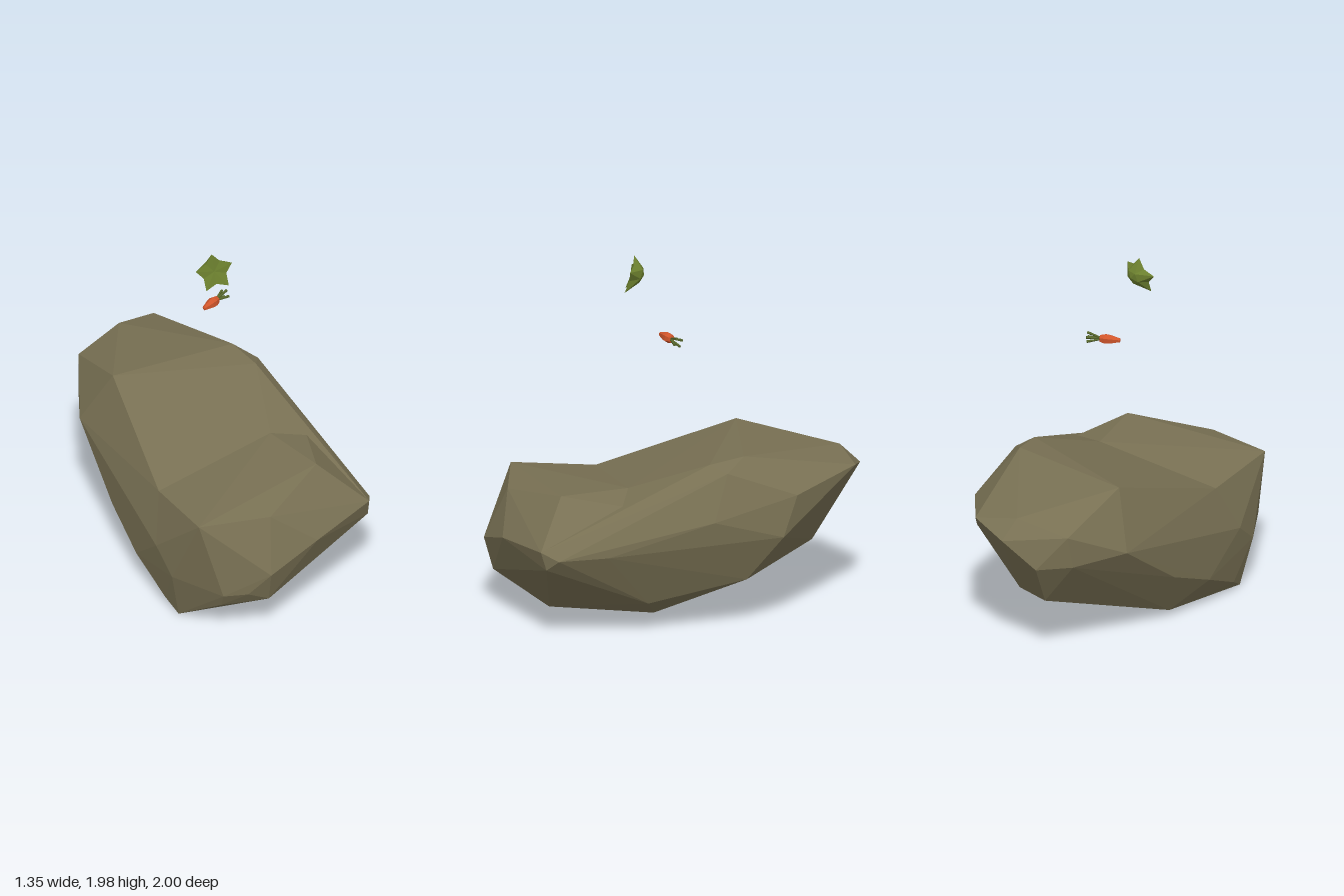
import * as THREE from 'three';
import { ConvexGeometry } from 'three/addons/geometries/ConvexGeometry.js';

const flat = (name, color) => {
  const m = new THREE.MeshStandardMaterial({ color, flatShading: true });
  m.name = name;
  return m;
};
const named = (mesh, name) => { mesh.name = name; return mesh; };
const v = (x, y, z) => new THREE.Vector3(x, y, z);

export function createModel() {
  const stone = flat('stone', 0x787053);
  const starGreen = flat('starGreen', 0x6b7f2e);
  const orange = flat('orange', 0xd0552b);
  const leafGreen = flat('leafGreen', 0x55652b);
  const model = new THREE.Group();
  model.name = 'rockWithStarAndCarrot';

  // Boulder: two convex chunks that meet along a sunken fold
  const fold = [[-0.47, 0.66, 0.43], [0.21, 0.77, 0.21], [0.43, 0.71, 0.03]];
  const frontLip = [[-0.37, 0.7, 0.88], [0.03, 0.69, 0.87], [0.37, 0.77, 0.56]];
  const lowerFront = [
    [0.67, 0.5, 0.55], [0.64, 0.54, 0.65], [0.64, 0.44, 0.62], [0.59, 0.5, 0.29],
    [0.29, 0.5, 0.88], [0, 0.4, 1], [0, 0.22, 0.95], [-0.12, 0.28, 0.97],
    [-0.25, 0.27, 0.94], [-0.25, 0.19, 0.9], [-0.47, 0.28, 0.7], [-0.52, 0.4, 0.56],
    [-0.47, 0.06, 0.56], [-0.56, 0.19, 0.3],
  ];
  const base = [
    [-0.42, 0, 0.65], [-0.01, 0.01, 0.65], [-0.01, 0, 0.22], [0.11, 0.03, 0.08],
    [0.38, 0.175, 0.09], [-0.46, 0.04, 0.1],
  ];
  const back = [
    [-0.52, 0.925, -0.32], [0.17, 0.95, -0.41], [0.25, 0.925, -0.23], [0.29, 0.89, -0.33],
    [0.41, 0.65, -0.27], [0.27, 0.53, -0.63], [0.21, 0.75, -0.7], [0.25, 0.28, -0.43],
    [-0.11, 0.82, -0.99], [-0.33, 0.76, -1], [-0.33, 0.86, -0.89], [-0.49, 0.61, -0.9],
    [-0.59, 0.79, -0.76], [-0.6, 0.61, -0.73], [-0.68, 0.62, -0.41], [-0.61, 0.32, 0],
    [-0.4, 0.35, -0.75], [-0.2, 0.36, -0.75],
  ];
  const chunk = (...sets) =>
    new THREE.Mesh(new ConvexGeometry(sets.flat().map((p) => v(...p))), stone);
  const boulder = new THREE.Group();
  boulder.name = 'boulder';
  boulder.add(
    named(chunk(fold, back, base, lowerFront), 'boulderBack'),
    named(chunk(fold, frontLip, lowerFront, base), 'boulderFront'),
  );
  model.add(boulder);

  // Star: shallow front face, faceted bulge behind, leaning back a little
  const cx = -0.102, cy = 1.872;
  const ring = (deg, r, depth) => {
    const a = THREE.MathUtils.degToRad(deg);
    const y = r * Math.sin(a);
    return v(cx + r * Math.cos(a), cy + y, 0.226 - 0.25 * y - depth);
  };
  const tris = [];
  const frontCentre = ring(0, 0, 0.015), backCentre = ring(0, 0, 0.08);
  for (let i = 0; i < 5; i++) {
    const a = 96 + i * 72;
    const tip = ring(a, 0.107, 0);
    const [p, n] = [a - 36, a + 36].map((d) => ring(d, 0.067, 0.01));
    const [bp, bn] = [a - 36, a + 36].map((d) => ring(d, 0.042, 0.066));
    tris.push(frontCentre, p, tip, frontCentre, tip, n);
    tris.push(tip, p, bp, n, tip, bn, tip, bp, bn, bn, bp, backCentre);
  }
  const starGeo = new THREE.BufferGeometry().setFromPoints(tris);
  starGeo.computeVertexNormals();
  model.add(named(new THREE.Mesh(starGeo, starGreen), 'star'));

  // Carrot: lathed root lying level, with a tuft of leaves at the crown
  const carrot = new THREE.Group();
  carrot.name = 'carrot';
  const profile = [[0, 0], [0.012, 0.004], [0.027, 0.06], [0.029, 0.085], [0.021, 0.112], [0, 0.118]];
  const rootGeo = new THREE.LatheGeometry(profile.map((p) => new THREE.Vector2(...p)), 6);
  carrot.add(named(new THREE.Mesh(rootGeo, orange), 'carrotRoot'));
  for (let i = 0; i < 4; i++) {
    const a = (i / 4) * Math.PI * 2 + 0.6;
    const geo = new THREE.CylinderGeometry(0.008, 0.005, 0.075, 5).translate(0, 0.0375, 0);
    const leaf = named(new THREE.Mesh(geo, leafGreen), 'carrotLeaf');
    leaf.position.set(0.005 * Math.cos(a), 0.112, 0.005 * Math.sin(a));
    leaf.quaternion.setFromUnitVectors(v(0, 1, 0),
      v(0.28 * Math.cos(a), 1, 0.28 * Math.sin(a)).normalize());
    carrot.add(leaf);
  }
  carrot.position.set(-0.118, 1.535, 0.06);
  carrot.quaternion.setFromUnitVectors(v(0, 1, 0), v(0.8, 0.02, -0.58).normalize());
  model.add(carrot);

  return model;
}
